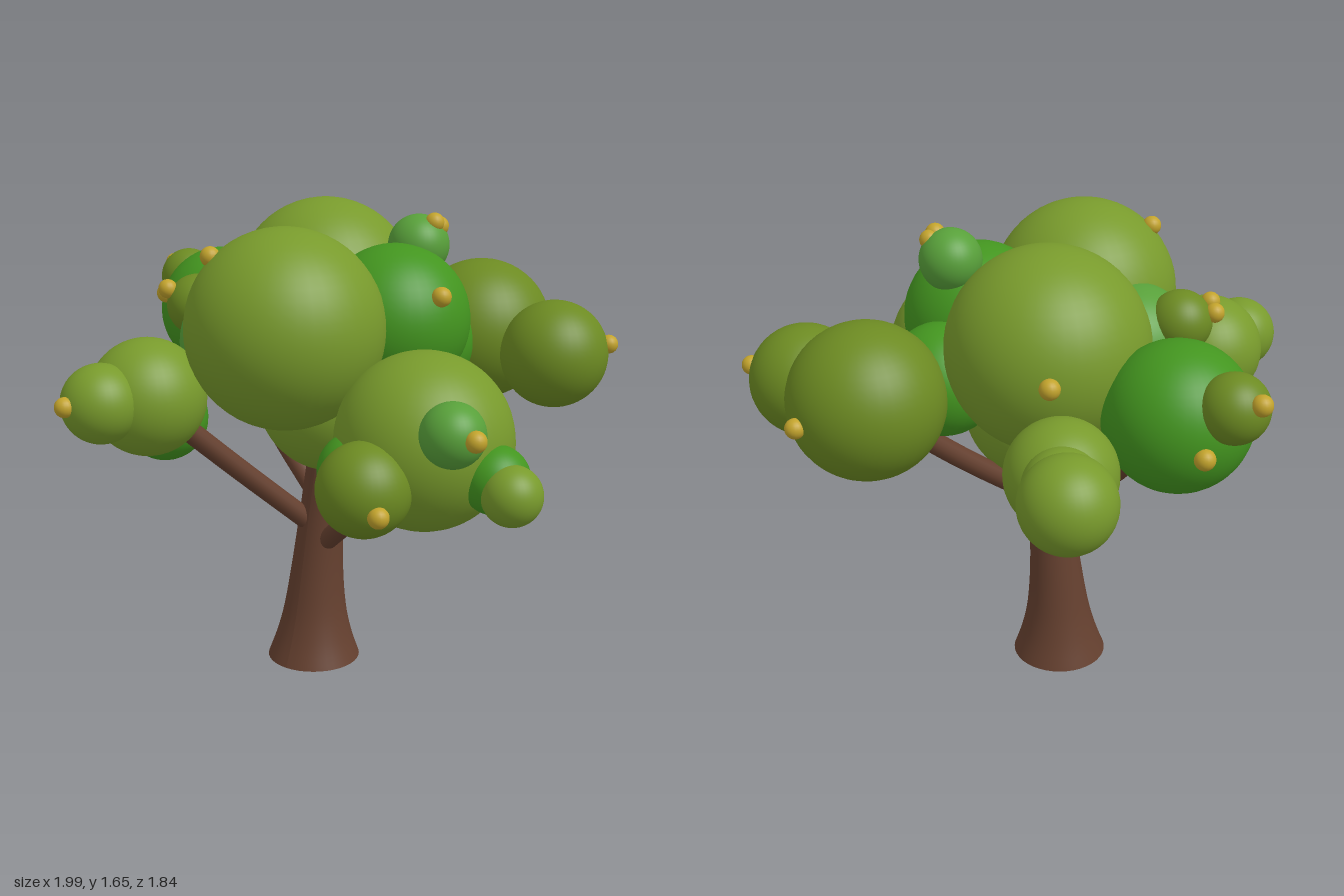
import * as THREE from 'three';

const material = (color, side = THREE.FrontSide) =>
  new THREE.MeshStandardMaterial({ color, side });

export function createModel() {
  const tree = new THREE.Group();
  tree.name = 'tree';
  const bark = material(0x65402f, THREE.DoubleSide);
  const olive = material(0x789a2c);
  const darkOlive = material(0x6c8a22);
  const green = material(0x43951f);
  const lightGreen = material(0x58a03a);
  const fruitSkin = material(0xc2a32c);

  const add = (parent, name, geometry, mat, position = [0, 0, 0]) => {
    const mesh = new THREE.Mesh(geometry, mat);
    mesh.name = name;
    mesh.position.set(...position);
    parent.add(mesh);
    return mesh;
  };

  // Trunk: flared foot, open at the base, leaning slightly as it rises
  const profile = new THREE.SplineCurve(
    [[0.168, 0], [0.137, 0.09], [0.112, 0.2], [0.093, 0.36], [0.08, 0.55], [0.075, 0.72], [0.07, 0.95]]
      .map(([r, y]) => new THREE.Vector2(r, y))
  ).getPoints(24);
  const trunk = new THREE.LatheGeometry(profile, 40);
  const p = trunk.attributes.position;
  for (let i = 0; i < p.count; i++) {
    const y = p.getY(i);
    p.setX(i, p.getX(i) - 0.072 + 0.09 * y * y);
    p.setZ(i, p.getZ(i) - 0.01 - 0.025 * y);
  }
  trunk.computeVertexNormals();
  add(tree, 'trunk', trunk, bark);

  // Branches: round, gently curved, from the trunk into a leaf clump
  const branches = new THREE.Group();
  branches.name = 'branches';
  tree.add(branches);
  [
    [[0.01, 0.475, 0.01], [0.27, 0.7, 0.12], [0.52, 0.97, 0.23]],
    [[-0.08, 0.54, 0.03], [-0.19, 0.77, 0.27], [-0.3, 1.03, 0.54]],
    [[-0.03, 0.65, -0.06], [0.1, 0.88, -0.34], [0.22, 1.12, -0.6]],
    [[-0.05, 0.61, -0.06], [-0.25, 0.8, -0.3], [-0.45, 1.05, -0.54]],
    [[-0.06, 0.62, -0.02], [-0.32, 0.83, -0.1], [-0.6, 1.13, -0.2]],
  ].forEach((points) => {
    const curve = new THREE.CatmullRomCurve3(points.map((q) => new THREE.Vector3(...q)));
    add(branches, 'branch', new THREE.TubeGeometry(curve, 16, 0.037, 16), bark);
    add(branches, 'branchEnd', new THREE.SphereGeometry(0.037, 16, 12), bark, points[0]);
  });

  // Leaf clumps: x, y, z, radius
  const foliage = new THREE.Group();
  foliage.name = 'foliage';
  tree.add(foliage);
  const clumps = [
    [olive, [
      [-0.195, 1.322, -0.255, 0.33],
      [0.055, 1.295, 0.31, 0.328],
      [0, 0.995, -0.03, 0.265],
      [0.55, 0.99, 0.245, 0.284],
      [-0.31, 1.07, 0.575, 0.195],
      [-0.34, 1.08, 0.757, 0.13],
      [-0.47, 1.09, -0.57, 0.175],
      [-0.55, 1.12, -0.68, 0.12],
      [-0.64, 1.14, -0.78, 0.145],
      [0.9, 0.895, 0.31, 0.094],
    ]],
    [darkOlive, [
      [0.24, 1.165, -0.635, 0.257],
      [0.58, 1.125, -0.563, 0.19],
      [-0.868, 1.3, -0.265, 0.108],
      [-0.4, 1.31, 0.215, 0.107],
      [0.52, 0.9, 0.53, 0.148],
    ]],
    [green, [
      [0.222, 1.285, -0.08, 0.255],
      [-0.655, 1.2, -0.22, 0.237],
      [-0.48, 0.915, 0.315, 0.152],
      [-0.31, 1.1, 0, 0.205],
      [0.16, 1.16, -0.35, 0.19],
      [0.82, 0.92, 0.27, 0.108],
      [0.42, 0.91, 0.42, 0.127],
    ]],
    [lightGreen, [
      [-0.23, 1.2, 0.19, 0.21],
      [0.76, 1.085, 0.425, 0.1],
      [0.225, 1.52, -0.217, 0.105],
    ]],
  ];
  for (const [mat, list] of clumps) {
    for (const [x, y, z, r] of list) {
      add(foliage, 'leafClump', new THREE.SphereGeometry(r, 40, 28), mat, [x, y, z]);
    }
  }

  // Small round fruits on the clumps
  const fruits = new THREE.Group();
  fruits.name = 'fruits';
  tree.add(fruits);
  const fruit = new THREE.SphereGeometry(0.033, 18, 14);
  [
    [-0.967, 1.345, -0.29], [0.285, 1.6, -0.22], [0.285, 1.585, -0.25],
    [0.45, 1.395, -0.005], [-0.13, 1.53, 0.455], [-0.465, 1.37, 0.295],
    [-0.5, 1.347, 0.265], [-0.595, 0.88, 0.418], [-0.37, 1.09, 0.885],
    [-0.51, 1.07, 0.07], [0.858, 1.09, 0.46], [0.635, 0.86, 0.622],
    [0.747, 1.165, -0.65], [0.3, 1.15, -0.893], [-0.395, 1.33, -0.525],
    [-0.84, 1.17, -0.375],
  ].forEach((position) => add(fruits, 'fruit', fruit, fruitSkin, position));

  return tree;
}
